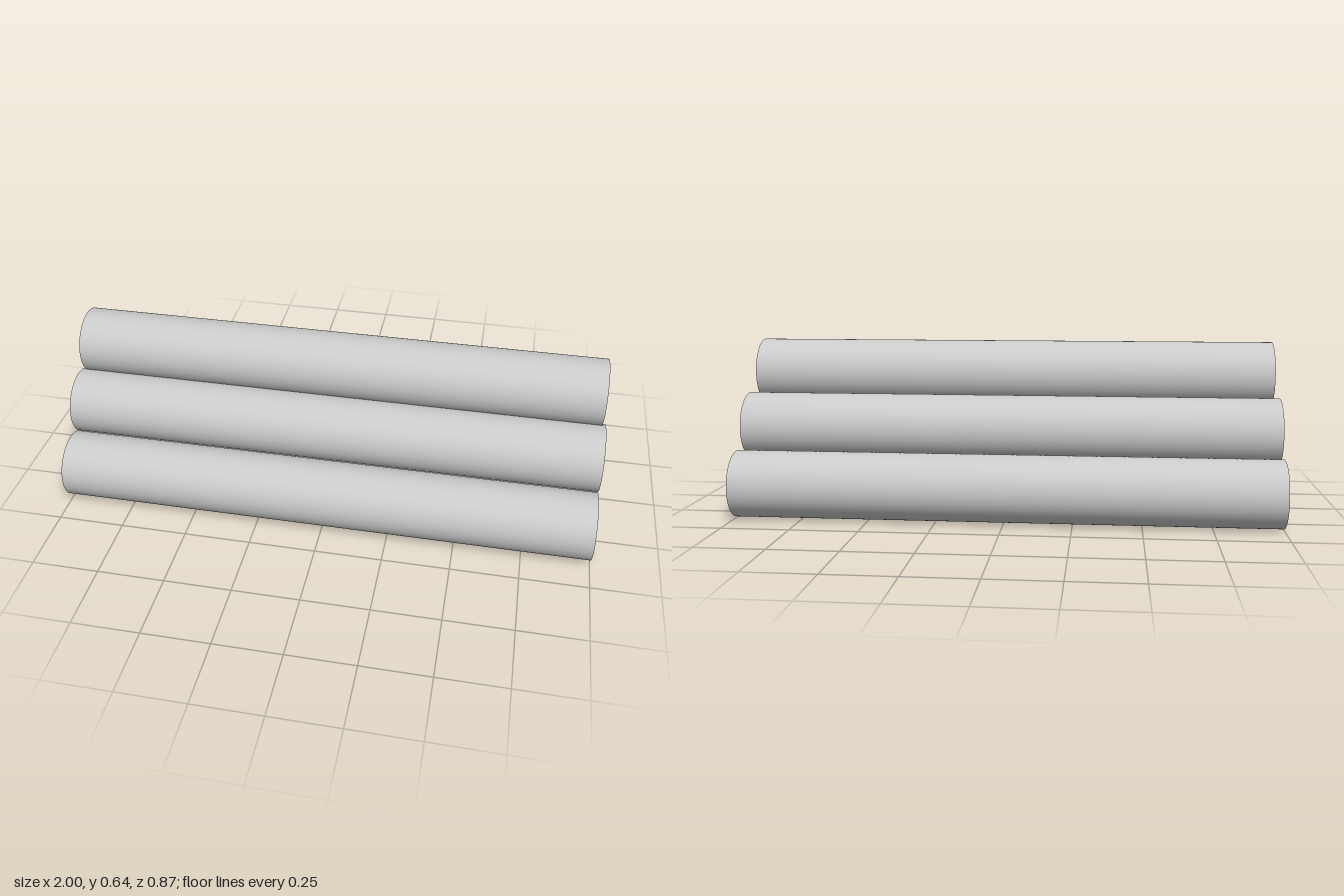
import * as THREE from 'three';

const OUTER = 0.124;
const INNER = 0.11;

// Hollow pipe along x: closed wall profile swept round, seam hidden mid-bore
function pipeGeometry(length) {
  const h = length / 2;
  const profile = [
    [INNER, 0], [INNER, -h], [OUTER, -h], [OUTER, h], [INNER, h], [INNER, 0],
  ].map(([r, y]) => new THREE.Vector2(r, y));
  return new THREE.LatheGeometry(profile, 64).rotateZ(-Math.PI / 2);
}

export function createModel() {
  const stack = new THREE.Group();
  stack.name = 'pipeStack';
  const material = new THREE.MeshStandardMaterial({ color: 0xcccccc });

  // Rows of the pyramid: centre y and z of each pipe, with its length
  const pipes = [
    ['bottomFrontPipe', 0.124, 0.31, 2],
    ['bottomMiddlePipe', 0.124, 0.019, 2],
    ['bottomBackPipe', 0.124, -0.31, 2],
    ['middleFrontPipe', 0.319, 0.155, 2],
    ['middleBackPipe', 0.321, -0.145, 2],
    ['topPipe', 0.515, 0.019, 1.975],
  ];
  for (const [name, y, z, length] of pipes) {
    const pipe = new THREE.Mesh(pipeGeometry(length), material);
    pipe.name = name;
    pipe.position.set(0, y, z);
    stack.add(pipe);
  }
  return stack;
}
